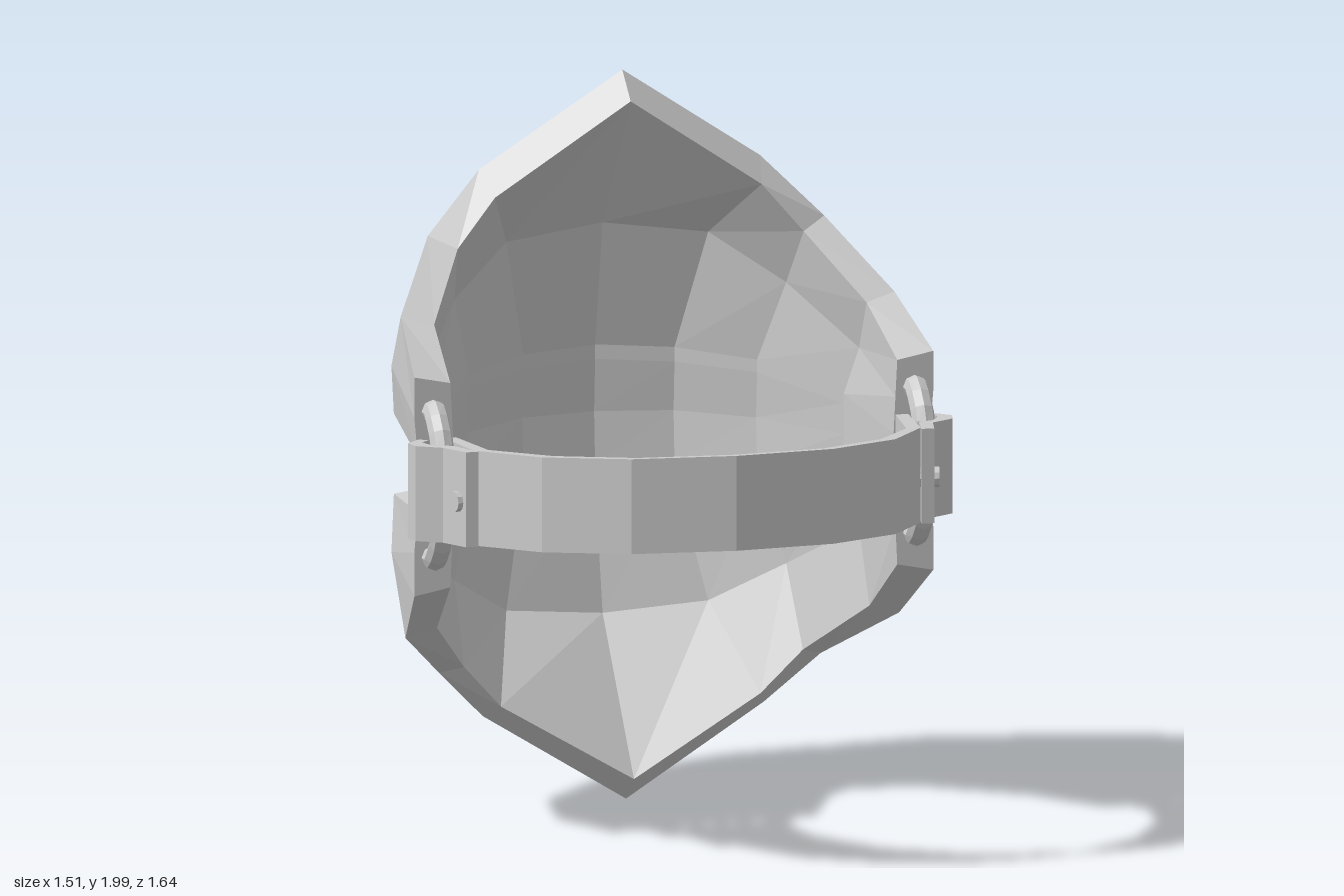
import * as THREE from 'three';

const material = new THREE.MeshStandardMaterial({ color: 0xcccccc, flatShading: true });

const flipX = ([x, y, z]) => [-x, y, z];
const flipY = ([x, y, z]) => [x, 2.01 - y, z];

// Closed solid between an outer and an inner grid of points (columns of rows)
function plate(name, outer, inner) {
  const pos = [];
  const quad = (a, b, c, d) => pos.push(...a, ...b, ...c, ...a, ...c, ...d);
  const m = outer.length - 1, n = outer[0].length - 1;
  for (let i = 0; i < m; i++) {
    const o = outer[i], p = outer[i + 1], q = inner[i], r = inner[i + 1];
    for (let j = 0; j < n; j++) {
      quad(o[j], o[j + 1], p[j + 1], p[j]);
      quad(q[j], r[j], r[j + 1], q[j + 1]);
    }
    quad(o[0], p[0], r[0], q[0]);
    quad(p[n], o[n], q[n], r[n]);
  }
  for (let j = 0; j < n; j++) {
    quad(outer[0][j + 1], outer[0][j], inner[0][j], inner[0][j + 1]);
    quad(outer[m][j], outer[m][j + 1], inner[m][j + 1], inner[m][j]);
  }
  const geometry = new THREE.BufferGeometry();
  geometry.setAttribute('position', new THREE.Float32BufferAttribute(pos, 3));
  geometry.computeVertexNormals();
  return named(name, geometry);
}

function named(name, geometry) {
  const mesh = new THREE.Mesh(geometry, material);
  mesh.name = name;
  return mesh;
}

// Half the columns, centre to side, become a full sweep from +x round to -x
const sweep = (half) => [...half.slice().reverse(), ...half.slice(1).map((c) => c.map(flipX))];

// Rows run from the centre line (first) to the side end (last)
const OUTER = {
  rim: [[0, 2, -0.4], [0.39, 1.74, -0.43], [0.55, 1.58, -0.36], [0.685, 1.41, -0.13], [0.72, 1.3, 0.15]],
  mid: [[0, 1.6, -0.7], [0.32, 1.55, -0.65], [0.53, 1.4, -0.49], [0.69, 1.26, -0.21], [0.72, 1.19, 0.15]],
  ridge: [[0, 1.2, -0.82], [0.25, 1.195, -0.78], [0.48, 1.175, -0.61], [0.665, 1.115, -0.28], [0.71, 1.08, 0.15]],
  band: [[0, 1.175, -0.745], [0.225, 1.17, -0.705], [0.435, 1.155, -0.55], [0.615, 1.1, -0.25], [0.69, 1.07, 0.15]],
  centre: [[0, 1.005, -0.76], [0.23, 1.005, -0.72], [0.445, 1.005, -0.56], [0.62, 1.005, -0.25], [0.69, 1.005, 0.15]],
  chin: [[0, 0.01, -0.36], [0.39, 0.25, -0.39], [0.53, 0.39, -0.32], [0.685, 0.54, -0.08], [0.72, 0.7, 0.15]],
};
const INNER = {
  rim: [[0, 1.93, -0.31], [0.37, 1.68, -0.335], [0.48, 1.55, -0.31], [0.6, 1.39, -0.1], [0.62, 1.28, 0.15]],
  mid: [[0, 1.54, -0.61], [0.28, 1.51, -0.56], [0.46, 1.39, -0.42], [0.6, 1.25, -0.18], [0.615, 1.18, 0.15]],
  ridge: [[0, 1.19, -0.69], [0.21, 1.18, -0.65], [0.4, 1.165, -0.5], [0.57, 1.115, -0.23], [0.61, 1.08, 0.15]],
  band: [[0, 1.15, -0.69], [0.21, 1.14, -0.65], [0.4, 1.13, -0.5], [0.57, 1.09, -0.23], [0.61, 1.065, 0.15]],
  centre: [[0, 1.005, -0.7], [0.21, 1.005, -0.66], [0.4, 1.005, -0.51], [0.57, 1.005, -0.23], [0.61, 1.005, 0.15]],
  chin: [[0, 0.08, -0.275], [0.36, 0.29, -0.31], [0.47, 0.41, -0.28], [0.6, 0.565, -0.07], [0.62, 0.72, 0.15]],
};

// One column, top rim to bottom rim; the lower half mirrors the upper one
const column = (s, i) => [
  s.rim[i], s.mid[i], s.ridge[i], s.band[i], s.centre[i],
  flipY(s.band[i]), flipY(s.ridge[i]), flipY(s.mid[i]), s.chin[i],
];
const shellGrid = (s) => sweep(s.rim.map((_, i) => column(s, i)));

// Strap paths as [x, z]; the strap rises slightly toward the front
const strapColumn = ([x, z]) => {
  const y = 1.005 + 0.045 * Math.max(0, (z - 0.3) / 0.52);
  return [[x, y + 0.13, z], [x, y - 0.13, z]];
};
const strapGrid = (path) => sweep(path.map(strapColumn)).reverse();

export function createModel() {
  const model = new THREE.Group();
  model.name = 'mask';

  // Faceted shell with flared upper and lower plates and a recessed band
  model.add(plate('shell', shellGrid(OUTER), shellGrid(INNER)));

  // Front strap
  model.add(plate('strap',
    strapGrid([[0, 0.82], [0.28, 0.775], [0.49, 0.63], [0.62, 0.4], [0.645, 0.17]]),
    strapGrid([[0, 0.79], [0.26, 0.75], [0.455, 0.61], [0.58, 0.4], [0.61, 0.17]])));

  const flapOuter = [[0.65, 0.43], [0.68, 0.3], [0.745, 0.26], [0.755, 0.215], [0.715, 0.175]].map(strapColumn);
  const flapInner = [[0.615, 0.43], [0.645, 0.285], [0.705, 0.245], [0.715, 0.215], [0.69, 0.19]].map(strapColumn);
  const mirrored = (grid) => grid.map((c) => c.map(flipX)).reverse();

  for (const side of [1, -1]) {
    const label = side > 0 ? 'left' : 'right';

    // Flap folded around the ring
    model.add(side > 0
      ? plate('leftFlap', flapOuter, flapInner)
      : plate('rightFlap', mirrored(flapOuter), mirrored(flapInner)));

    // Ring joining strap and shell
    const path = new THREE.CurvePath();
    const points = [[1.205, 0.1], [1.205, 0.18], [1.14, 0.245], [0.87, 0.245], [0.805, 0.18], [0.805, 0.1]]
      .map(([y, z]) => new THREE.Vector3(side * 0.668, y, z));
    for (let i = 1; i < points.length; i++) path.add(new THREE.LineCurve3(points[i - 1], points[i]));
    model.add(named(label + 'Ring', new THREE.TubeGeometry(path, 24, 0.032, 8)));

    // Rivet through flap and strap
    const rivet = named(label + 'Rivet', new THREE.CylinderGeometry(0.028, 0.028, 0.11, 10));
    rivet.position.set(side * 0.62, 1.005, 0.38);
    rivet.rotation.set(0, -side * 0.22, Math.PI / 2);
    rivet.rotation.order = 'YXZ';
    model.add(rivet);
  }
  return model;
}
